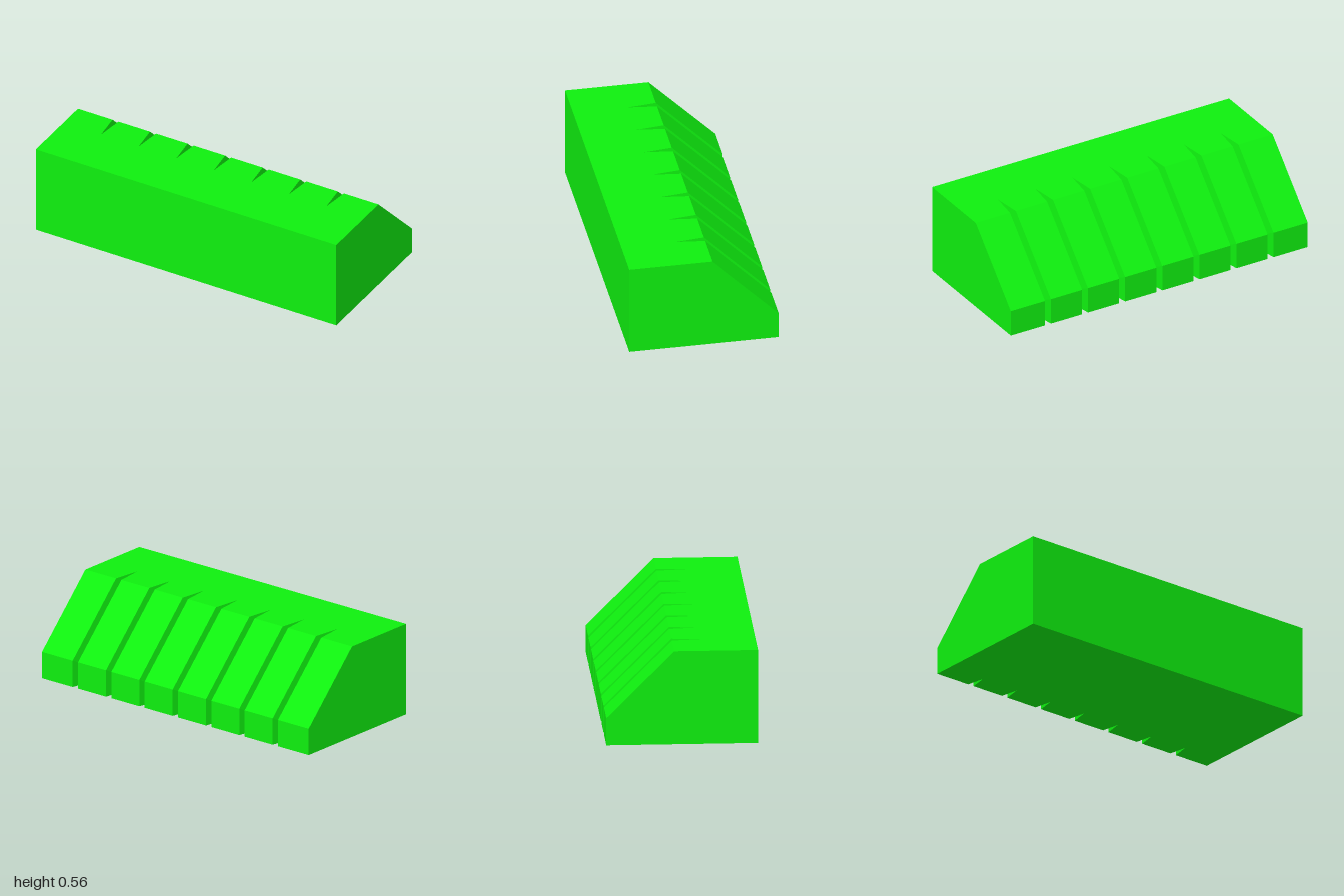
import * as THREE from 'three';

// Side profiles as [z, y]: front bottom, front top, ridge, back shoulder, back bottom
const OUTER = [[0.44, 0.005], [0.44, 0.562], [-0.048, 0.562], [-0.44, 0.167], [-0.44, 0.005]];
const GROOVE = [[0.44, 0.005], [0.44, 0.562], [0.12, 0.562], [-0.33, 0.11], [-0.33, 0.005]];
const GROOVE_HALF = 0.02;

export function createModel() {
  // Cross-sections along x: each V groove dips to the inset profile at its centre
  const stations = [[-1, OUTER]];
  for (let i = -3; i <= 3; i++) {
    const x = i * 0.25;
    stations.push([x - GROOVE_HALF, OUTER], [x, GROOVE], [x + GROOVE_HALF, OUTER]);
  }
  stations.push([1, OUTER]);

  const n = OUTER.length;
  const positions = [];
  const index = [];
  for (const [x, profile] of stations) {
    for (const [z, y] of profile) positions.push(x, y, z);
  }

  // Skin between neighbouring sections
  for (let s = 0; s < stations.length - 1; s++) {
    for (let i = 0; i < n; i++) {
      const j = (i + 1) % n;
      const a = s * n, b = a + n;
      index.push(a + i, b + i, b + j, a + i, b + j, a + j);
    }
  }

  // End caps
  const last = (stations.length - 1) * n;
  for (let k = 1; k < n - 1; k++) {
    index.push(0, k, k + 1, last, last + k + 1, last + k);
  }

  const indexed = new THREE.BufferGeometry();
  indexed.setAttribute('position', new THREE.Float32BufferAttribute(positions, 3));
  indexed.setIndex(index);
  const geometry = indexed.toNonIndexed();
  geometry.computeVertexNormals();

  const block = new THREE.Mesh(
    geometry,
    new THREE.MeshStandardMaterial({ color: 0x0ff00f, flatShading: true })
  );
  block.name = 'groovedBlock';

  const group = new THREE.Group();
  group.name = 'slopedBlock';
  group.add(block);
  return group;
}
